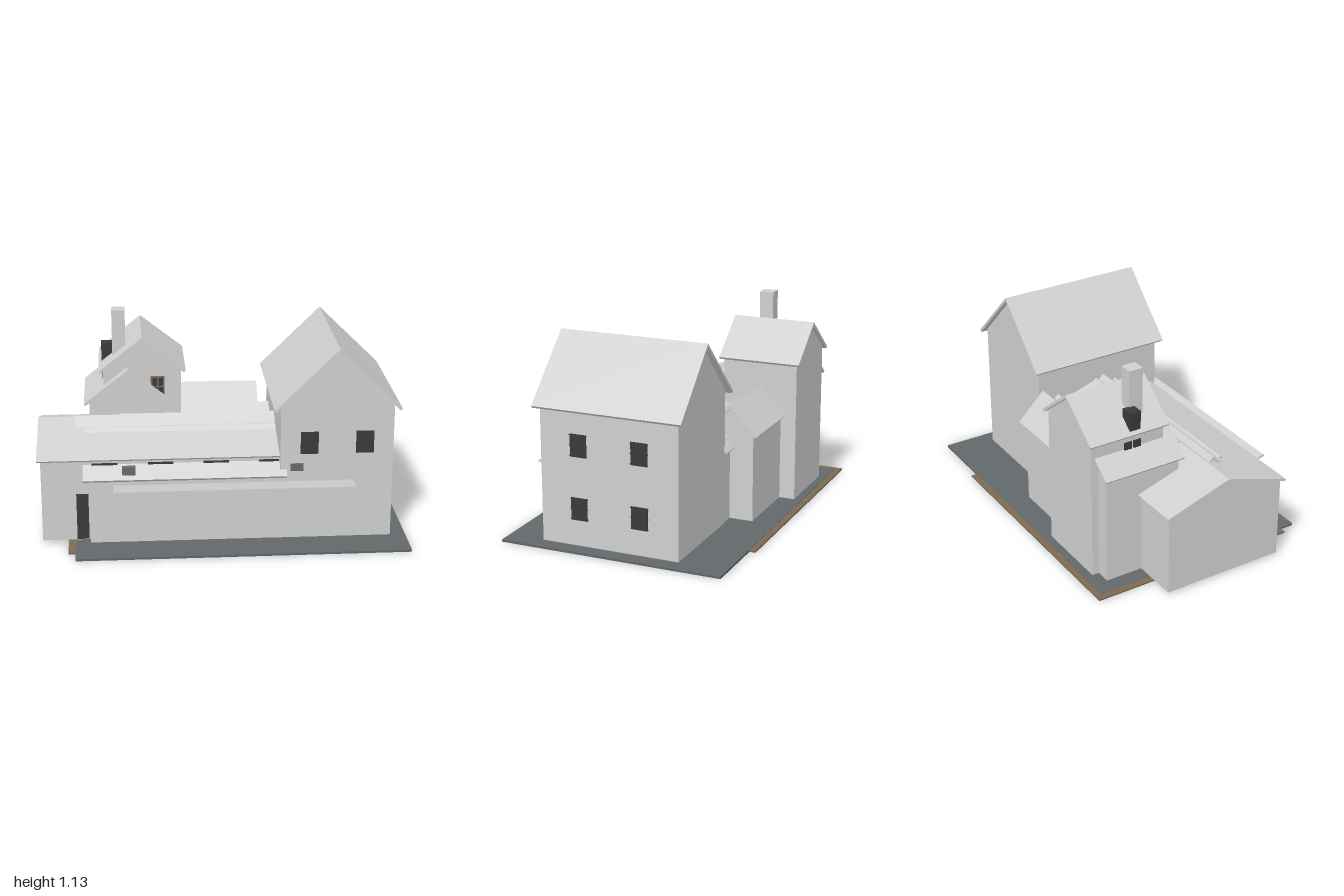
import * as THREE from 'three';

const mat = (name, color) => {
  const m = new THREE.MeshStandardMaterial({ color });
  m.name = name;
  return m;
};

export function createModel() {
  const model = new THREE.Group();
  model.name = 'farmhouse';
  const plaster = mat('pale grey', 0xd0d0d0);
  const dark = mat('window black', 0x3a3a3a);
  const slate = mat('paving slate', 0x62676b);
  const earth = mat('earth brown', 0x7c6a54);
  const metal = mat('lamp grey', 0x68696b);

  const add = (name, geo, material) => {
    const mesh = new THREE.Mesh(geo, material);
    mesh.name = name;
    model.add(mesh);
    return mesh;
  };

  // Box given by its extents
  const box = (name, m, x0, x1, y0, y1, z0, z1) => {
    const mesh = add(name, new THREE.BoxGeometry(x1 - x0, y1 - y0, z1 - z0), m);
    mesh.position.set((x0 + x1) / 2, (y0 + y1) / 2, (z0 + z1) / 2);
    return mesh;
  };

  // Profile drawn across the ridge, extruded from a to b along the axis
  const prism = (name, m, axis, points, a, b) => {
    const shape = new THREE.Shape(points.map(p => new THREE.Vector2(...p)));
    const geo = new THREE.ExtrudeGeometry(shape, { depth: b - a, bevelEnabled: false });
    const mesh = add(name, geo, m);
    if (axis === 'x') {
      mesh.rotation.y = -Math.PI / 2;
      mesh.position.x = b;
    } else mesh.position.z = a;
    return mesh;
  };

  // Pitched roof slab: centre c, ridge height, half span, drop to the eaves
  const roof = (name, axis, c, ridge, half, drop, a, b, t = 0.02) => prism(name, plaster, axis, [
    [c - half, ridge - drop], [c - half + t * 0.5, ridge - drop - t * 0.6],
    [c, ridge - t], [c + half - t * 0.5, ridge - drop - t * 0.6],
    [c + half, ridge - drop], [c, ridge],
  ], a, b);

  // Walls with gable ends, tucked under a roof
  const walls = (name, axis, c, half, eave, peak, a, b) => prism(name, plaster, axis, [
    [c - half, 0.013], [c + half, 0.013], [c + half, eave], [c, peak], [c - half, eave],
  ], a, b);

  // Ground
  box('paving', slate, -0.8, 1, 0, 0.012, -0.61, 0.64);
  box('earthBed', earth, -0.84, 0.61, 0.001, 0.01, -0.645, 0.555);

  // Tall gabled house
  walls('tallHouseWalls', 'z', 0.61, 0.305, 0.767, 1.07, -0.345, 0.435);
  roof('tallHouseRoof', 'z', 0.61, 1.09, 0.342, 0.335, -0.375, 0.465);

  // Rear cottage and the smaller gable beside it
  walls('cottageWalls', 'z', -0.42, 0.218, 0.81, 0.983, -0.565, -0.13);
  roof('cottageRoof', 'z', -0.42, 1.0, 0.245, 0.193, -0.585, -0.11);
  walls('smallGableWalls', 'z', -0.505, 0.215, 0.642, 0.808, -0.525, -0.085);
  roof('smallGableRoof', 'z', -0.505, 0.825, 0.245, 0.19, -0.545, -0.065);

  // Long low wing
  walls('longWingWalls', 'x', 0.0375, 0.35, 0.472, 0.585, -0.98, 0.32);
  roof('longWingRoof', 'x', 0.0375, 0.6, 0.3725, 0.12, -1, 0.32, 0.015);

  // Raised ridges breaking through the long roof
  roof('ridgeFront', 'x', 0.16, 0.575, 0.12, 0.12, -0.75, 0.32);
  roof('ridgeMiddle', 'x', 0.08, 0.62, 0.12, 0.12, -0.8, 0.32);
  roof('ridgeBack', 'x', 0.03, 0.607, 0.08, 0.08, -0.55, 0.32);

  // Rear extensions between the cottage and the tall house
  walls('linkWalls', 'x', -0.22, 0.12, 0.435, 0.556, -0.4, 0.32);
  roof('linkRoof', 'x', -0.22, 0.575, 0.15, 0.15, -0.4, 0.32);
  walls('extensionWalls', 'x', -0.35, 0.125, 0.516, 0.641, -0.4, 0.22);
  roof('extensionRoof', 'x', -0.35, 0.66, 0.155, 0.155, -0.4, 0.245);

  // Front bar with its skirt roof and upturned canopy
  box('frontBar', plaster, -0.72, 0.31, 0.013, 0.385, 0.3, 0.434);
  prism('skirtRoof', plaster, 'x',
    [[0.38, 0.435], [0.458, 0.373], [0.468, 0.385], [0.39, 0.449]], -0.755, 0.34);
  prism('canopy', plaster, 'x',
    [[0.43, 0.33], [0.58, 0.362], [0.577, 0.373], [0.43, 0.342]], -0.59, 0.695);

  // Door and low windows of the front bar
  box('door', dark, -0.793, -0.728, 0.02, 0.28, 0.388, 0.397);
  for (const x of [-0.705, -0.405, -0.105, 0.195])
    box('lowWindow', dark, x, Math.min(x + 0.137, 0.303), 0.425, 0.455, 0.386, 0.395);

  // Lamps
  box('lamp', metal, -0.543, -0.472, 0.402, 0.446, 0.41, 0.445);
  box('lamp', metal, 0.36, 0.43, 0.405, 0.446, 0.43, 0.446);

  // Tall house windows with small projecting sills and lintels
  for (const x of [0.413, 0.712]) {
    box('frontWindow', dark, x, x + 0.096, 0.5, 0.624, 0.433, 0.441);
  }
  for (const z of [-0.175, 0.17]) for (const y of [0.155, 0.5]) {
    box('sideWindow', dark, 0.913, 0.92, y, y + 0.123, z, z + 0.093);
    for (const dy of [0.004, 0.061, 0.115])
      box('sideWindowBar', dark, 0.913, 0.922, y + dy, y + dy + 0.005, z - 0.003, z + 0.096);
  }

  // Cottage front window with glazing bars
  box('cottageWindowFrame', earth, -0.372, -0.294, 0.65, 0.77, -0.132, -0.126);
  for (const x of [-0.363, -0.328]) for (const y of [0.66, 0.715])
    box('cottageWindowPane', dark, x, x + 0.026, y, y + 0.046, -0.13, -0.123);
  for (const z of [-0.37, -0.315])
    box('cottageSideWindow', dark, -0.644, -0.636, 0.69, 0.76, z, z + 0.045);

  // Chimney and flue
  box('chimney', plaster, -0.585, -0.51, 0.85, 1.13, -0.305, -0.225);
  box('flue', dark, -0.647, -0.577, 0.82, 0.925, -0.34, -0.275);

  return model;
}
